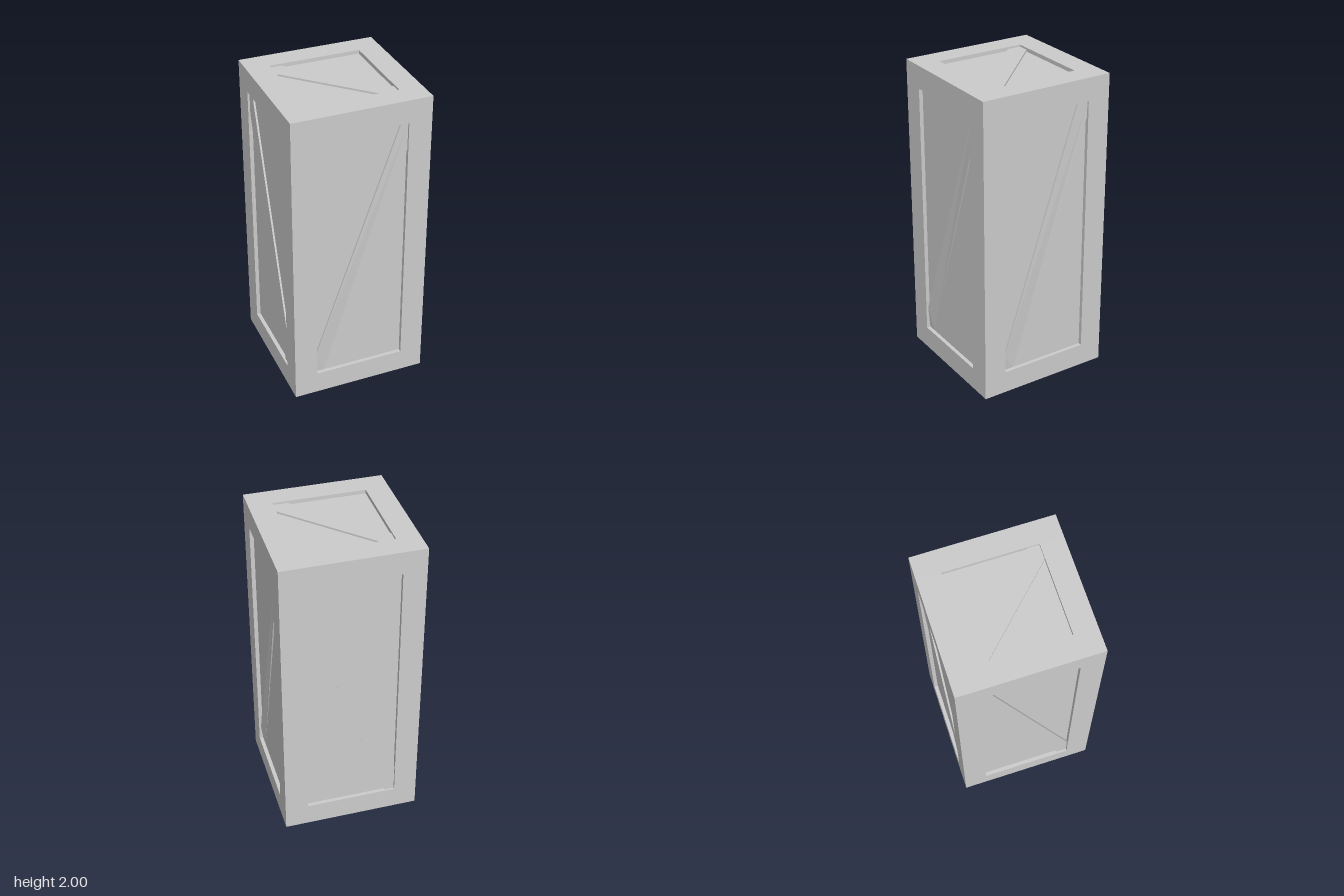
import * as THREE from 'three';

const HALF = 0.444, TALL = 1, BEAM = 0.149; // half width, half height, beam section
const RECESS = 0.025, RAISE = 0.012;        // panel depth, brace height above panel

export function createModel() {
  const crate = new THREE.Group();
  crate.name = 'crate';
  const material = new THREE.MeshStandardMaterial({ color: 0xcccccc, flatShading: true });

  function add(name, geometry, parent = crate) {
    const mesh = new THREE.Mesh(geometry, material);
    mesh.name = name;
    parent.add(mesh);
    return mesh;
  }
  const box = (name, w, h, d, x, y, z) =>
    add(name, new THREE.BoxGeometry(w, h, d)).position.set(x, y, z);

  // Recessed panels: one inner block seen through every frame opening
  const inner = 2 * (HALF - RECESS);
  box('panels', inner, 2 * (TALL - RECESS), inner, 0, TALL, 0);

  // Frame: four corner posts, with rails between them at top and bottom
  const c = HALF - BEAM / 2, railLength = 2 * (HALF - BEAM);
  for (const a of [-1, 1]) {
    for (const b of [-1, 1]) {
      box('cornerPost', BEAM, 2 * TALL, BEAM, a * c, TALL, b * c);
      const y = TALL + b * (TALL - BEAM / 2);
      box('railAcross', railLength, BEAM, BEAM, 0, y, a * c);
      box('railDeep', BEAM, BEAM, railLength, a * c, y, 0);
    }
  }

  // Diagonal brace: a strip clipped to the opening, rising to the right unless mirrored.
  // leftY / topX end its upper edge, rightY / bottomX its lower edge.
  function brace(name, { h, leftY, topX, rightY, bottomX, mirror = 1, sink = 0, out, turn }) {
    const w = HALF - BEAM, base = 0.01;
    const outline = [[-w, -h], [-w, leftY], [topX, h], [w, h], [w, rightY], [bottomX, -h]]
      .map(([x, y]) => new THREE.Vector2(x * mirror, y));
    const geometry = new THREE.ExtrudeGeometry(new THREE.Shape(outline),
      { depth: base + RAISE, bevelEnabled: false });
    // The foot of a sunk brace dips into the panel
    const p = geometry.attributes.position;
    for (let i = 0; i < p.count; i++) {
      if (p.getZ(i) > base && p.getY(i) < -h + 0.001) p.setZ(i, p.getZ(i) - sink);
    }
    geometry.translate(0, 0, out - RECESS - base);
    geometry.computeVertexNormals();
    const mesh = add(name, geometry);
    mesh.position.y = TALL;
    mesh.rotation.set(...turn);
  }

  const q = Math.PI / 2;
  const side = { h: TALL - BEAM, out: HALF };
  const end = { h: HALF - BEAM, out: TALL };
  brace('frontBrace', { ...side, leftY: -0.7, topX: 0.25, rightY: 0.67, bottomX: -0.24,
    sink: RAISE, turn: [0, 0, 0] });
  brace('leftBrace', { ...side, leftY: -0.75, topX: 0.225, rightY: 0.75, bottomX: -0.22,
    sink: RAISE, turn: [0, q, 0] });
  brace('backBrace', { ...side, leftY: -0.66, topX: 0.235, rightY: 0.68, bottomX: -0.23,
    mirror: -1, turn: [0, 2 * q, 0] });
  brace('rightBrace', { ...side, leftY: -0.68, topX: 0.24, rightY: 0.7, bottomX: -0.23,
    mirror: -1, turn: [0, -q, 0] });
  brace('topBrace', { ...end, leftY: -0.22, topX: 0.22, rightY: 0.205, bottomX: -0.2,
    mirror: -1, turn: [-q, 0, 0] });
  brace('bottomBrace', { ...end, leftY: -0.21, topX: 0.21, rightY: 0.21, bottomX: -0.21,
    turn: [q, 0, 0] });

  return crate;
}
